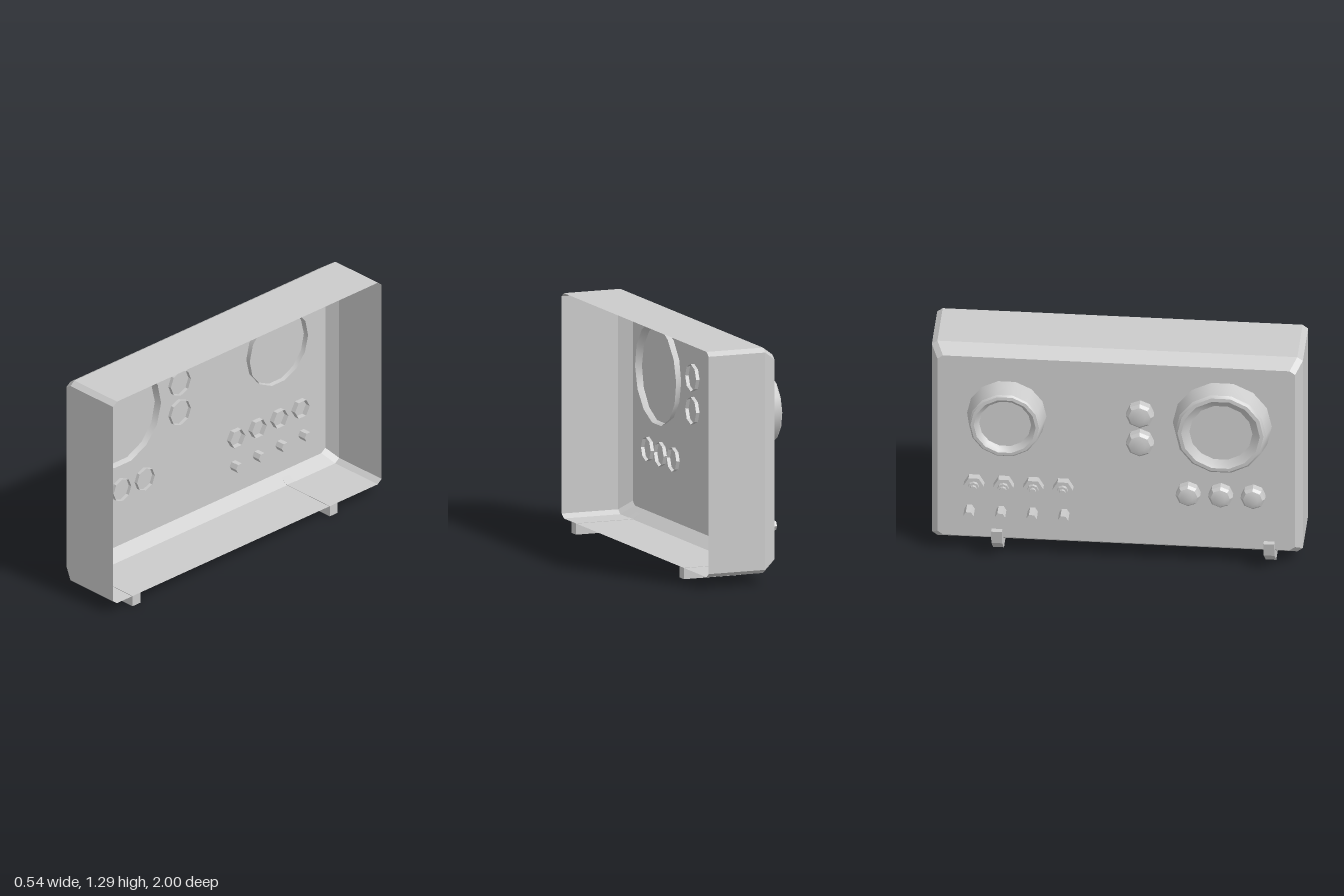
import * as THREE from 'three';
import { toCreasedNormals } from 'three/addons/utils/BufferGeometryUtils.js';

const material = new THREE.MeshStandardMaterial({ color: 0xcccccc, side: THREE.DoubleSide });
const PANEL_X = -0.135;

function addMesh(parent, name, geometry) {
  const mesh = new THREE.Mesh(geometry, material);
  mesh.name = name;
  parent.add(mesh);
  return mesh;
}

// Octagonal cross-section of the cabinet at a given x, inset from the full size
function cabinetLoop(x, inset) {
  const top = 1.29 - inset, bottom = 0.06 + inset, z = 1 - inset * 0.75;
  const cy = 0.022, cz = 0.03;
  return [
    [top, -z + cz], [top, z - cz], [top - cy, z], [bottom + cy, z],
    [bottom, z - cz], [bottom, -z + cz], [bottom + cy, -z], [top - cy, -z],
  ].map(([py, pz]) => new THREE.Vector3(x, py, pz));
}

// Thin shell, open at the back, with a chamfered front panel
function cabinetGeometry() {
  const loops = [cabinetLoop(0.265, 0), cabinetLoop(-0.065, 0), cabinetLoop(PANEL_X, 0.048)];
  const points = [];
  const n = 8;
  for (let k = 0; k < 2; k++) {
    for (let i = 0; i < n; i++) {
      const j = (i + 1) % n;
      const a = loops[k][i], b = loops[k][j], c = loops[k + 1][j], d = loops[k + 1][i];
      points.push(a, d, b, b, d, c);
    }
  }
  const face = loops[2];
  for (let i = 1; i < n - 1; i++) points.push(face[0], face[i + 1], face[i]);
  const geometry = new THREE.BufferGeometry().setFromPoints(points);
  geometry.computeVertexNormals();
  return geometry;
}

// Turned part whose axis points out of the panel; profile is [radius, distance from panel]
function turned(parent, name, profile, sides, y, z, tilt = 0) {
  const points = profile.map(([r, d]) => new THREE.Vector2(r, d));
  const geometry = toCreasedNormals(new THREE.LatheGeometry(points, sides), 0.5);
  const mesh = addMesh(parent, name, geometry);
  mesh.position.set(PANEL_X, y, z);
  mesh.rotation.z = Math.PI / 2 - tilt;
  return mesh;
}

export function createModel() {
  const model = new THREE.Group();
  model.name = 'instrumentBox';

  addMesh(model, 'cabinet', cabinetGeometry());

  // Large round gauges with recessed faces
  turned(model, 'largeGauge', [
    [0.28, -0.035], [0.267, 0], [0.245, 0.103], [0.232, 0.115],
    [0.212, 0.117], [0.195, 0.105], [0.17, 0.09], [0, 0.09],
  ], 14, 0.887, 0.572, 0.022);
  turned(model, 'smallGauge', [
    [0.217, -0.03], [0.214, 0], [0.194, 0.118], [0.185, 0.127],
    [0.167, 0.129], [0.152, 0.117], [0.14, 0.1], [0, 0.1],
  ], 14, 0.887, -0.59, 0.02);

  // Rotary knobs
  const knob = (name, r, y, z) => turned(model, name, [
    [r, -0.02], [r, 0.04], [r * 0.8, 0.056], [r * 0.45, 0.063], [0, 0.063],
  ], 8, y, z);
  for (const y of [0.94, 0.76]) knob('upperKnob', 0.075, y, 0.13);
  for (const z of [0.39, 0.565, 0.74]) knob('lowerKnob', 0.066, 0.45, z);

  // Hex sockets above a row of hex pegs
  for (let i = 0; i < 4; i++) {
    const z = -0.285 - i * 0.16;
    turned(model, 'socketNut', [[0.055, -0.03], [0.055, 0.043], [0.03, 0.043]], 6, 0.45, z);
    turned(model, 'socketStud', [[0.03, 0.04], [0.03, 0.06], [0.018, 0.06], [0.018, 0.076], [0, 0.076]], 8, 0.45, z);
    turned(model, 'peg', [[0, -0.05], [0.028, -0.05], [0.028, 0.078], [0, 0.078]], 6, 0.28, -0.28 - i * 0.17);
  }

  // Feet with upturned toes in front of the panel
  const outline = [
    [0.268, 0], [-0.065, 0], [-0.185, 0.1], [-0.2, 0.18],
    [-0.168, 0.18], [-0.14, 0.11], [-0.065, 0.062], [0.268, 0.062],
  ].map(([x, y]) => new THREE.Vector2(x, y));
  const footGeometry = new THREE.ExtrudeGeometry(new THREE.Shape(outline), { depth: 0.058, bevelEnabled: false });
  footGeometry.translate(0, 0, -0.029);
  for (const z of [0.828, -0.64]) addMesh(model, 'foot', footGeometry).position.z = z;

  return model;
}
